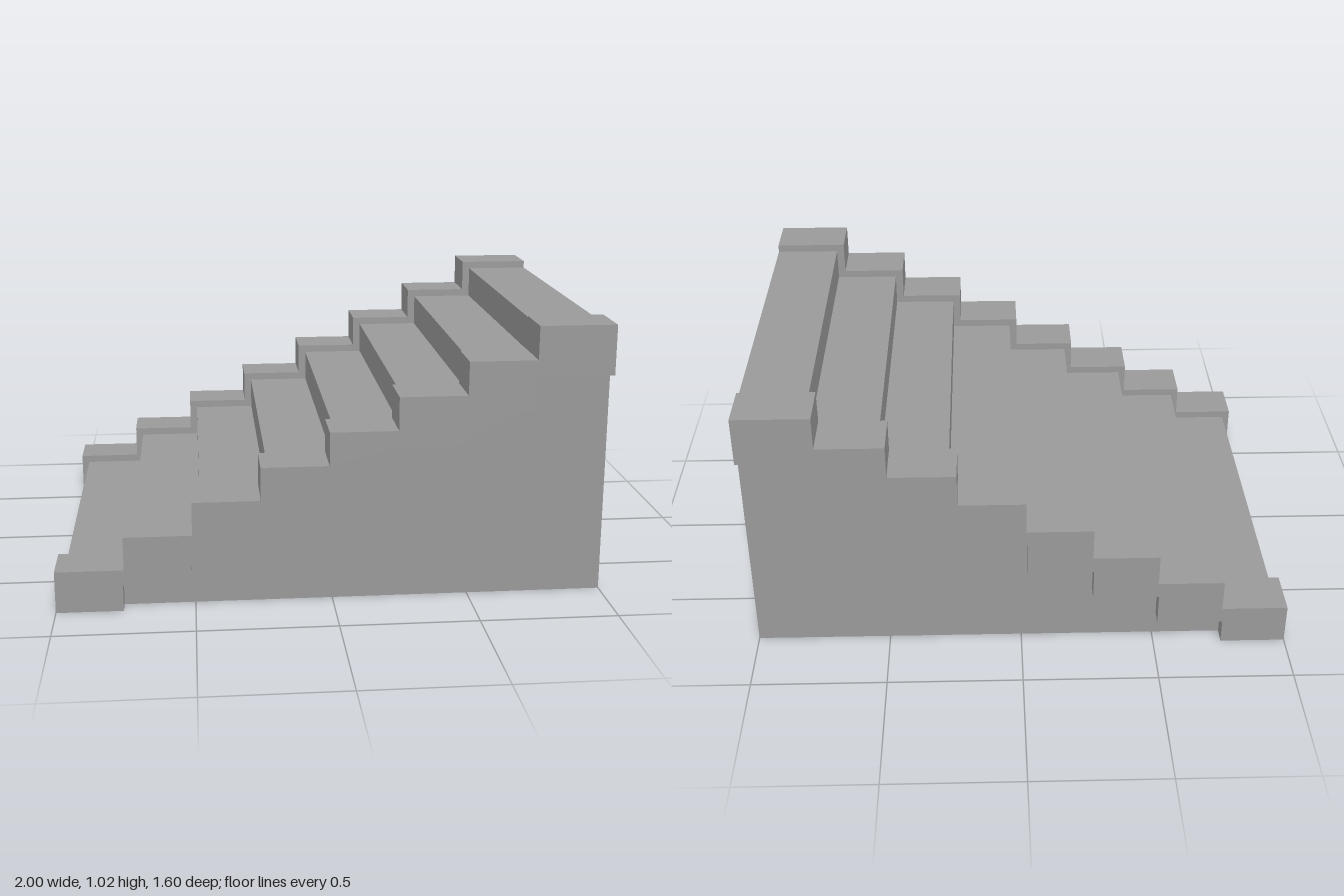
import * as THREE from 'three';

const STEPS = 8;
const RUN = 0.246, RISE = 0.123;
const END = 1;          // x of the open high end
const INNER = 0.617, OUTER = 0.8, PANEL_Z = 0.74;
const GREY = 0x999999;

// Points climbing in x: a rise to each level, then the flat up to the next rise.
function stairLine(x0, y0) {
  const points = [];
  for (let i = 0; i < STEPS; i++) {
    const y = y0 + i * RISE;
    points.push(new THREE.Vector2(x0 + i * RUN, y));
    points.push(new THREE.Vector2(i === STEPS - 1 ? END : x0 + (i + 1) * RUN, y));
  }
  return points;
}

export function createModel() {
  const group = new THREE.Group();
  const solid = new THREE.MeshStandardMaterial({ color: GREY, flatShading: true });
  const thin = new THREE.MeshStandardMaterial({ color: GREY, flatShading: true, side: THREE.DoubleSide });

  const add = (name, geometry, material, z = 0) => {
    const mesh = new THREE.Mesh(geometry, material);
    mesh.name = name;
    mesh.position.z = z;
    group.add(mesh);
  };

  // Underside of the stepped curbs, which is also the top of the side panels
  const underside = stairLine(-1.004, -0.028);
  underside[0].set(-1, 0);
  underside[1].y = 0;

  // Stepped curb, closed on every side
  const curbTop = stairLine(-1, 0.155);
  const curbShape = new THREE.Shape([...underside, ...curbTop.reverse()]);
  const curb = new THREE.ExtrudeGeometry(curbShape, { depth: OUTER - INNER, bevelEnabled: false });
  add('leftCurb', curb, solid, INNER);
  add('rightCurb', curb, solid, -OUTER);

  // Thin side panels reaching the ground below each curb
  const panelShape = new THREE.Shape([...underside.slice(1), new THREE.Vector2(END, 0)]);
  const panel = new THREE.ShapeGeometry(panelShape);
  add('leftSidePanel', panel, thin, PANEL_Z);
  add('rightSidePanel', panel, thin, -PANEL_Z);

  // Open folded sheet of risers and treads between the curbs
  const line = [new THREE.Vector2(-0.97, 0), ...stairLine(-0.97, 0.126)];
  const positions = [];
  for (let i = 0; i + 1 < line.length; i++) {
    const a = line[i], b = line[i + 1];
    const corners = [[a, INNER], [b, INNER], [b, -INNER], [a, INNER], [b, -INNER], [a, -INNER]];
    for (const [p, z] of corners) positions.push(p.x, p.y, z);
  }
  const sheet = new THREE.BufferGeometry();
  sheet.setAttribute('position', new THREE.Float32BufferAttribute(positions, 3));
  sheet.computeVertexNormals();
  add('treadsAndRisers', sheet, thin);

  return group;
}
